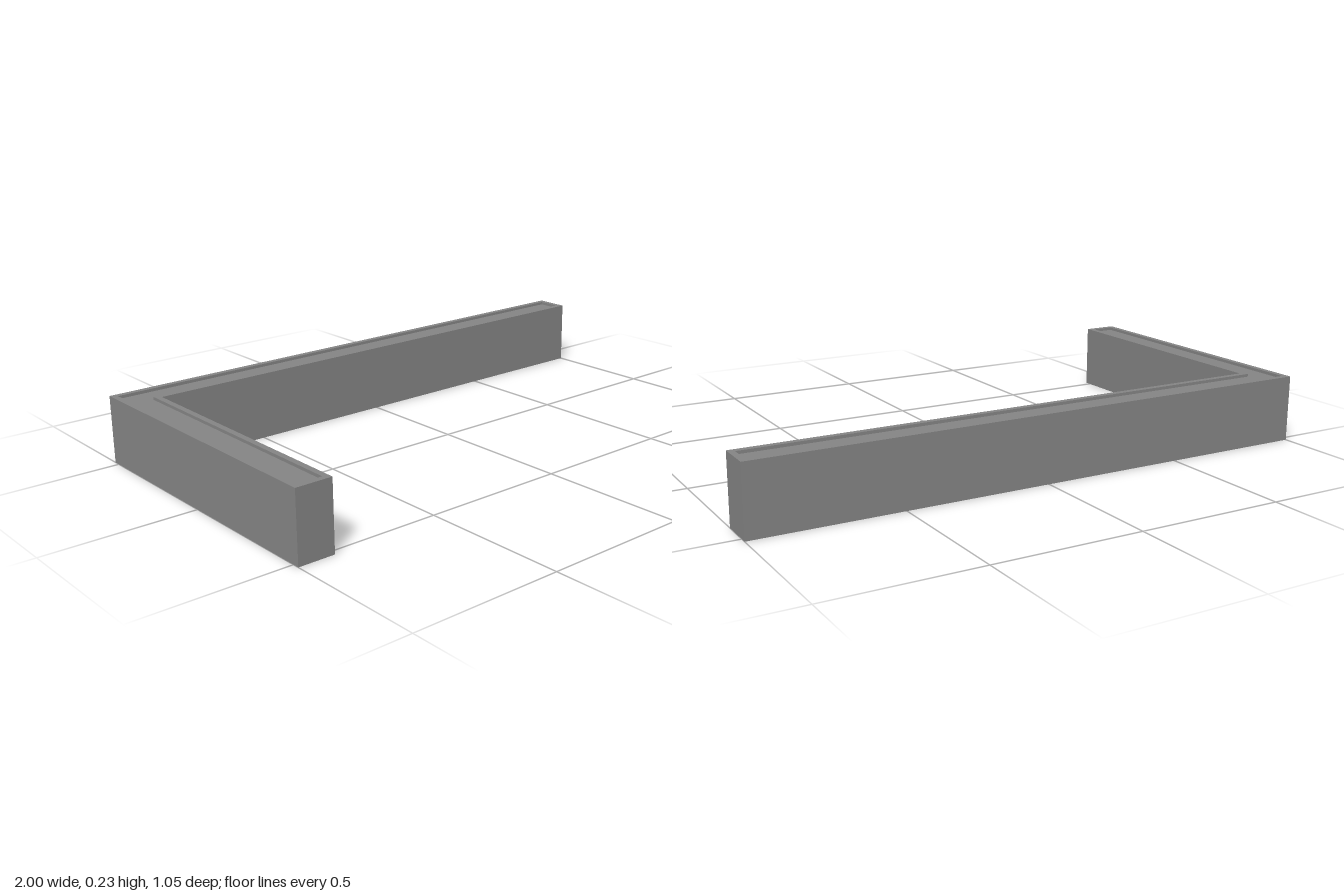
import * as THREE from 'three';

const H = 0.23;        // overall height
const HALF_Z = 0.523;  // half depth
const W = 0.122;       // width of each arm
const RIM = 0.02;      // rim width
const DROP = 0.01;     // depth of the recessed panel

const material = new THREE.MeshStandardMaterial({ color: 0x858585, side: THREE.DoubleSide, flatShading: true });

// L-shaped plan as [x, z] corners, inset by d on every side
function outline(d) {
  const x0 = -1 + d, x1 = -1 + W - d, z0 = -HALF_Z + d, z1 = -HALF_Z + W - d;
  return [[x0, z0], [x0, HALF_Z - d], [x1, HALF_Z - d], [x1, z1], [1 - d, z1], [1 - d, z0]];
}

// Upright walls following a closed outline
function walls(points, y0, y1) {
  const pos = [];
  points.forEach(([ax, az], i) => {
    const [bx, bz] = points[(i + 1) % points.length];
    pos.push(ax, y0, az, bx, y0, bz, bx, y1, bz, ax, y0, az, bx, y1, bz, ax, y1, az);
  });
  const geo = new THREE.BufferGeometry();
  geo.setAttribute('position', new THREE.Float32BufferAttribute(pos, 3));
  geo.computeVertexNormals();
  return geo;
}

// Horizontal sheet filling an outline, with an optional opening
function sheet(points, y, hole) {
  const toPlan = (list) => list.map(([x, z]) => new THREE.Vector2(x, -z));
  const shape = new THREE.Shape(toPlan(points));
  if (hole) shape.holes.push(new THREE.Path(toPlan(hole)));
  return new THREE.ShapeGeometry(shape).rotateX(-Math.PI / 2).translate(0, y, 0);
}

export function createModel() {
  const group = new THREE.Group();
  group.name = 'cornerPlanter';
  const add = (name, geo) => {
    const mesh = new THREE.Mesh(geo, material);
    mesh.name = name;
    group.add(mesh);
  };
  const outer = outline(0), inner = outline(RIM);

  // Thin outer shell, open underneath
  add('outerWalls', walls(outer, 0, H));
  // Flat rim around the top
  add('rim', sheet(outer, H, inner));
  // Short inner lip down to the recessed panel (reversed so it faces inward)
  add('innerLip', walls([...inner].reverse(), H - DROP, H));
  add('recessedPanel', sheet(inner, H - DROP));
  return group;
}
